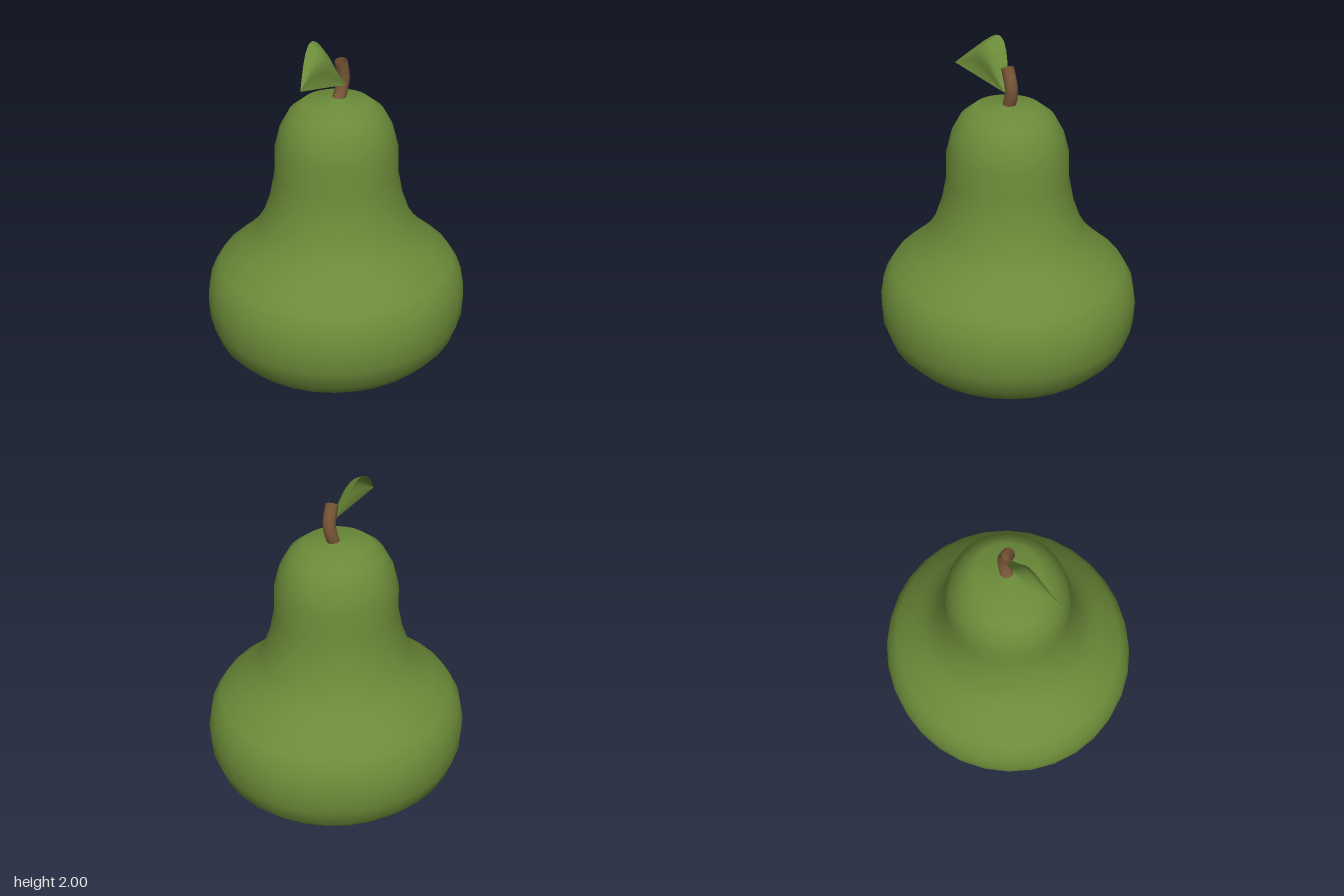
import * as THREE from 'three';

const V = (x, y, z) => new THREE.Vector3(x, y, z);

// Cupped leaf surface: lofted between a straight lower edge and an arched upper edge
function leafGeometry(upper, cup, nu = 14, nv = 6) {
  const base = upper[0], tip = upper[upper.length - 1];
  const edge = new THREE.CatmullRomCurve3(upper);
  const pos = [], idx = [];
  for (let i = 0; i <= nu; i++) {
    const t = i / nu;
    const low = base.clone().lerp(tip, t), top = edge.getPoint(t);
    for (let j = 0; j <= nv; j++) {
      const v = j / nv;
      const p = low.clone().lerp(top, v);
      p.z += cup * 6.75 * v * v * (1 - v) * Math.sin(Math.PI * t);
      pos.push(p.x, p.y, p.z);
      if (i < nu && j < nv) {
        const a = i * (nv + 1) + j, b = a + nv + 1;
        idx.push(a, a + 1, b, b, a + 1, b + 1);
      }
    }
  }
  const g = new THREE.BufferGeometry();
  g.setAttribute('position', new THREE.Float32BufferAttribute(pos, 3));
  g.setIndex(idx);
  g.computeVertexNormals();
  // front of the leaf must face +z
  if (g.attributes.normal.getZ(Math.floor(nu / 2) * (nv + 1) + 3) < 0) {
    g.setIndex(idx.reverse());
    g.computeVertexNormals();
  }
  return g;
}

export function createModel() {
  const green = new THREE.MeshStandardMaterial({ color: 0x6b8b39 });
  green.name = 'pear green';
  green.side = THREE.DoubleSide;
  const brown = new THREE.MeshStandardMaterial({ color: 0x7d5a3a });
  brown.name = 'stem brown';
  brown.side = THREE.DoubleSide;

  const group = new THREE.Group();
  const add = (name, geometry, material) => {
    const mesh = new THREE.Mesh(geometry, material);
    mesh.name = name;
    group.add(mesh);
    return mesh;
  };

  // Fruit body: turned profile, slightly flattened front to back
  const profile = [
    [0, 0], [0.27, 0.01], [0.5, 0.045], [0.64, 0.11], [0.73, 0.205], [0.772, 0.325],
    [0.777, 0.45], [0.755, 0.565], [0.7, 0.655], [0.585, 0.75], [0.5, 0.835],
    [0.44, 0.925], [0.39, 1.06], [0.36, 1.21], [0.357, 1.36], [0.325, 1.48],
    [0.27, 1.575], [0.19, 1.635], [0, 1.655],
  ].map(([r, y]) => new THREE.Vector2(r, y));
  const body = add('fruitBody', new THREE.LatheGeometry(profile, 32), green);
  body.scale.z = 0.97;
  body.position.z = -0.003;

  // Stem: open bent tube
  const stem = new THREE.CatmullRomCurve3([
    V(-0.005, 1.6, 0), V(0.035, 1.69, 0), V(0.045, 1.76, 0.005), V(0.02, 1.866, 0.012),
  ]);
  add('stem', new THREE.TubeGeometry(stem, 8, 0.037, 8), brown);

  // Leaf
  const upperEdge = [
    V(0.03, 1.73, 0.04), V(0, 1.79, 0), V(-0.04, 1.88, -0.03), V(-0.09, 1.972, -0.045),
    V(-0.14, 2, -0.045), V(-0.19, 1.985, -0.03), V(-0.27, 1.915, 0.02), V(-0.37, 1.81, 0.1),
  ];
  add('leaf', leafGeometry(upperEdge, 0.06), green);

  return group;
}
